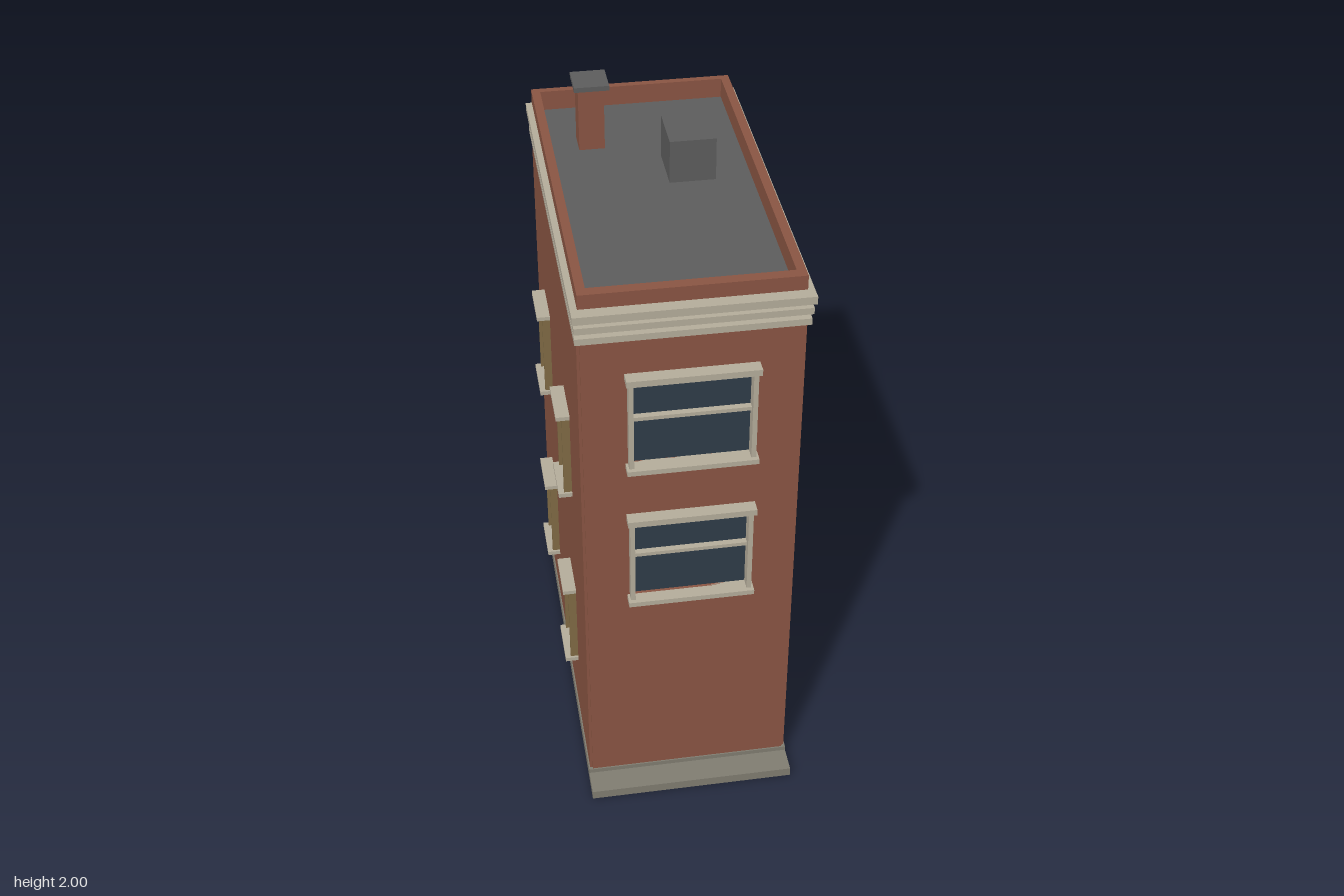
import * as THREE from 'three';

const mat = (name, color) => {
  const m = new THREE.MeshStandardMaterial({ color });
  m.name = name;
  return m;
};

export function createModel() {
  const brick = mat('brick', 0x8a5543);
  const trim = mat('stone trim', 0xb5ad9b);
  const jambTan = mat('tan jamb', 0x806b45);
  const glass = mat('dark glass', 0x2f3c48);
  const stone = mat('plinth stone', 0x807d71);
  const roofGrey = mat('roof grey', 0x5d5d5d);

  const model = new THREE.Group();
  model.name = 'townhouse';

  // Box given by its min and max along each axis
  const box = (parent, name, m, x0, x1, y0, y1, z0, z1) => {
    const mesh = new THREE.Mesh(new THREE.BoxGeometry(x1 - x0, y1 - y0, z1 - z0), m);
    mesh.position.set((x0 + x1) / 2, (y0 + y1) / 2, (z0 + z1) / 2);
    mesh.name = name;
    parent.add(mesh);
    return mesh;
  };

  const rectPoints = (x0, x1, y0, y1) =>
    [[x0, y0], [x1, y0], [x1, y1], [x0, y1]].map(([x, y]) => new THREE.Vector2(x, y));

  // Rectangle with rectangular holes, extruded along +z
  const slab = (outline, holes, depth) => {
    const shape = new THREE.Shape(rectPoints(...outline));
    holes.forEach((h) => shape.holes.push(new THREE.Path(rectPoints(...h))));
    return new THREE.ExtrudeGeometry(shape, { depth, bevelEnabled: false });
  };

  // One wall in its own frame: u along the wall, y up, +z outward
  const T = 0.03;
  const wall = (name, u0, u1, outer, angle, openings) => {
    const g = new THREE.Group();
    g.name = name;
    g.rotation.y = angle;
    const mesh = new THREE.Mesh(slab([u0, u1, 0.04, 1.785], openings, T), brick);
    mesh.position.z = outer - T;
    mesh.name = name + 'Bricks';
    g.add(mesh);
    model.add(g);
    return g;
  };

  // Front wall with two wide framed windows
  const frontZ = 0.545;
  const frontRows = [[0.78, 1.07], [1.275, 1.565]];
  const front = wall('frontWall', -0.306, 0.306, frontZ, 0,
    frontRows.map(([a, b]) => [-0.178, 0.178, a, b]));
  frontRows.forEach(([a, b]) => {
    const mid = (a + b) / 2 + 0.014;
    box(front, 'frontGlass', glass, -0.178, 0.178, a, b, 0.528, 0.536);
    box(front, 'frontMidBar', trim, -0.166, 0.166, mid - 0.006, mid + 0.006, 0.536, 0.555);
    for (const s of [-1, 1])
      box(front, 'frontJamb', trim, s * 0.173 - 0.007, s * 0.173 + 0.007, a, b, 0.536, 0.572);
    box(front, 'frontLintel', trim, -0.187, 0.187, b, b + 0.02, 0.536, 0.585);
    box(front, 'frontSill', trim, -0.187, 0.187, a - 0.016, a, 0.536, 0.585);
  });

  // Side walls, each with four recessed windows in projecting frames
  const sideX = 0.314;
  const rows = [[0.288, 0.565], [0.972, 1.247]];
  for (const s of [1, -1]) {
    const name = s > 0 ? 'leftWall' : 'rightWall';
    const spots = [0.208, -0.312].flatMap((z) => rows.map(([a, b]) => [-s * z, a, b]));
    const [u0, u1] = s > 0 ? [-0.538, 0.612] : [-0.612, 0.538];
    const side = wall(name, u0, u1, sideX, s * Math.PI / 2,
      spots.map(([u, a, b]) => [u - 0.07, u + 0.07, a, b]));
    for (const [u, a, b] of spots) {
      box(side, 'sideGlass', glass, u - 0.07, u + 0.07, a, b, 0.28, 0.288);
      for (const k of [-1, 1])
        box(side, 'sideJamb', jambTan, u + k * 0.066 - 0.005, u + k * 0.066 + 0.005, a, b, 0.286, 0.338);
      box(side, 'sideLintel', trim, u - 0.078, u + 0.078, b, b + 0.013, 0.286, 0.355);
      box(side, 'sideSill', trim, u - 0.078, u + 0.078, a - 0.013, a + 0.001, 0.286, 0.355);
    }
  }

  // Back wall with plain recessed windows
  const backRows = [[0.27, 0.565], [0.96, 1.25]];
  const back = wall('backWall', -0.306, 0.306, 0.62, Math.PI,
    backRows.map(([a, b]) => [-0.092, 0.092, a, b]));
  backRows.forEach(([a, b]) =>
    box(back, 'backGlass', glass, -0.092, 0.092, a, b, 0.598, 0.606));

  // Plinth and front step
  box(model, 'plinth', stone, -0.318, 0.318, 0, 0.045, -0.628, 0.549);
  box(model, 'frontStep', stone, -0.318, 0.318, 0, 0.03, 0.549, 0.63);

  // Cornice bands around the front and both sides
  [[1.705, 1.725, 0.321, 0.565], [1.745, 1.765, 0.323, 0.574], [1.782, 1.806, 0.328, 0.583]]
    .forEach(([y0, y1, x, z]) => {
      box(model, 'frontCornice', trim, -x, x, y0, y1, 0.536, z);
      for (const s of [-1, 1])
        box(model, 'sideCornice', trim, Math.min(s * 0.3, s * x), Math.max(s * 0.3, s * x), y0, y1, -0.614, 0.536);
    });

  // Parapet ring and flat roof
  const parapet = new THREE.Mesh(
    slab([-0.309, 0.309, -0.545, 0.617], [[-0.283, 0.283, -0.512, 0.595]], 0.07), brick);
  parapet.rotation.x = -Math.PI / 2;
  parapet.position.y = 1.78;
  parapet.name = 'parapet';
  model.add(parapet);
  box(model, 'roof', roofGrey, -0.29, 0.29, 1.765, 1.788, -0.6, 0.52);

  // Chimney and rooftop unit
  box(model, 'chimney', brick, -0.196, -0.119, 1.788, 1.985, -0.405, -0.326);
  box(model, 'chimneyCap', roofGrey, -0.208, -0.104, 1.985, 2, -0.42, -0.314);
  box(model, 'roofUnit', roofGrey, 0.04, 0.177, 1.788, 1.922, -0.258, -0.094);

  return model;
}
